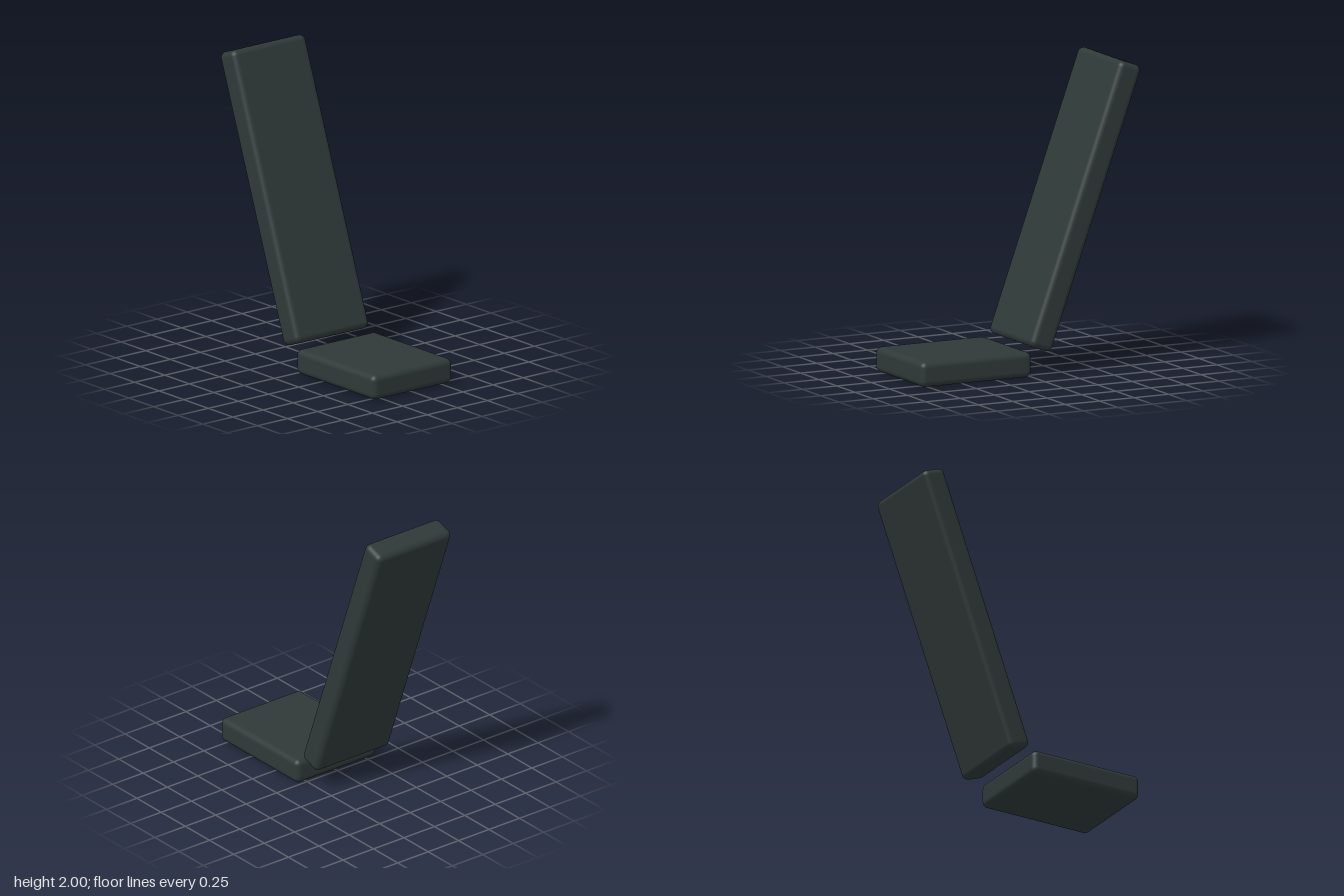
import * as THREE from 'three';
import { RoundedBoxGeometry } from 'three/addons/geometries/RoundedBoxGeometry.js';

export function createModel() {
  const model = new THREE.Group();
  model.name = 'chairCushions';

  const upholstery = new THREE.MeshStandardMaterial({ color: 0x2f3938 });
  upholstery.name = 'dark slate upholstery';

  function cushion(name, width, height, depth, y, z, tilt = 0) {
    const mesh = new THREE.Mesh(new RoundedBoxGeometry(width, height, depth, 5, 0.04), upholstery);
    mesh.name = name;
    mesh.position.set(0, y, z);
    mesh.rotation.x = tilt;
    model.add(mesh);
  }

  // Flat seat pad
  cushion('seat', 0.66, 0.165, 0.803, 0.0825, 0.403);
  // Tall backrest, reclined away from the seat
  cushion('backrest', 0.61, 1.932, 0.166, 1.075, -0.408, -THREE.MathUtils.degToRad(20));

  return model;
}
